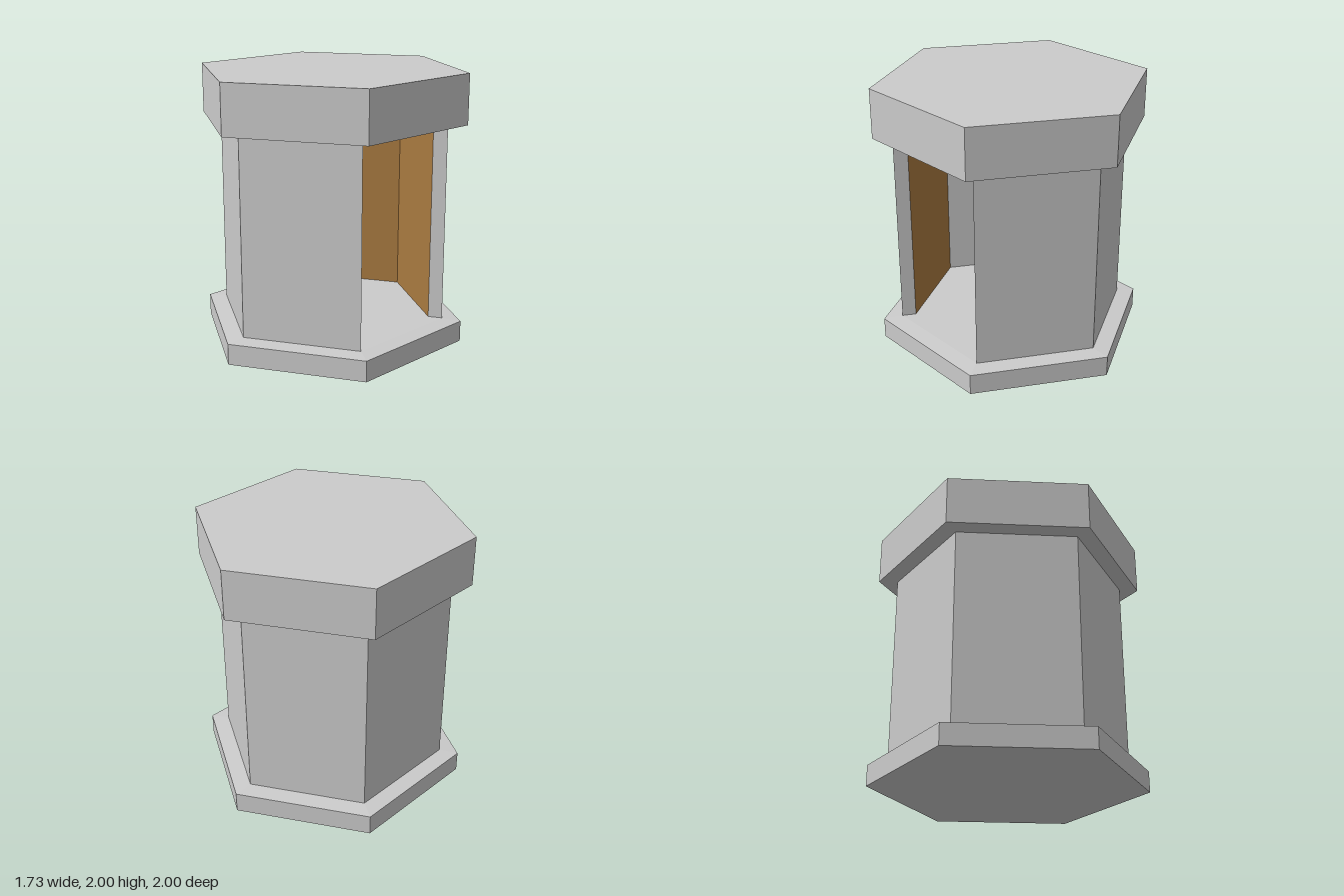
import * as THREE from 'three';

const R_OUT = 0.86, R_IN = 0.757, Y0 = 0.16, Y1 = 1.63;

// Corner k of a hexagon with one corner facing front
function corner(r, k, y) {
  const a = k * Math.PI / 3;
  return [r * Math.sin(a), y, r * Math.cos(a)];
}

function facesMesh(name, triangles, color) {
  const geo = new THREE.BufferGeometry();
  geo.setAttribute('position', new THREE.Float32BufferAttribute(triangles.flat(2), 3));
  geo.computeVertexNormals();
  const mesh = new THREE.Mesh(geo, new THREE.MeshStandardMaterial({ color, flatShading: true }));
  mesh.name = name;
  return mesh;
}

function hexPrism(name, rTop, rBottom, y0, y1) {
  const geo = new THREE.CylinderGeometry(rTop, rBottom, y1 - y0, 6);
  const mesh = new THREE.Mesh(geo, new THREE.MeshStandardMaterial({ color: 0xcccccc, flatShading: true }));
  mesh.position.y = (y0 + y1) / 2;
  mesh.name = name;
  return mesh;
}

export function createModel() {
  const model = new THREE.Group();
  model.name = 'hexagonalBooth';

  // Base slab with a barely raised floor, and the roof slab
  model.add(hexPrism('base', 1, 1, 0, 0.155));
  model.add(hexPrism('floor', R_OUT, 1, 0.155, 0.165));
  model.add(hexPrism('roof', 1, 1, Y1, 1.995));

  // Five walls; the side between corners 1 and 2 (+x) stays open
  const plain = [], brown = [];
  const quad = (a, b, c, d) => [[a, b, d], [b, c, d]];
  for (let k = 2; k < 7; k++) {
    plain.push(...quad(corner(R_OUT, k, Y0), corner(R_OUT, k + 1, Y0),
      corner(R_OUT, k + 1, Y1), corner(R_OUT, k, Y1)));
    const [lower, upper] = quad(corner(R_IN, k + 1, Y0), corner(R_IN, k, Y0),
      corner(R_IN, k, Y1), corner(R_IN, k + 1, Y1));
    // Brown lining stops halfway across the far wall, along its diagonal
    (k === 4 || k === 5 ? plain : brown).push(lower);
    (k === 5 ? plain : brown).push(upper);
  }

  // Mitred wall ends on both sides of the opening
  plain.push(...quad(corner(R_IN, 2, Y0), corner(R_OUT, 2, Y0), corner(R_OUT, 2, Y1), corner(R_IN, 2, Y1)));
  plain.push(...quad(corner(R_OUT, 1, Y0), corner(R_IN, 1, Y0), corner(R_IN, 1, Y1), corner(R_OUT, 1, Y1)));

  model.add(facesMesh('walls', plain, 0xcccccc));
  model.add(facesMesh('wallLining', brown, 0xa97a40));
  return model;
}
